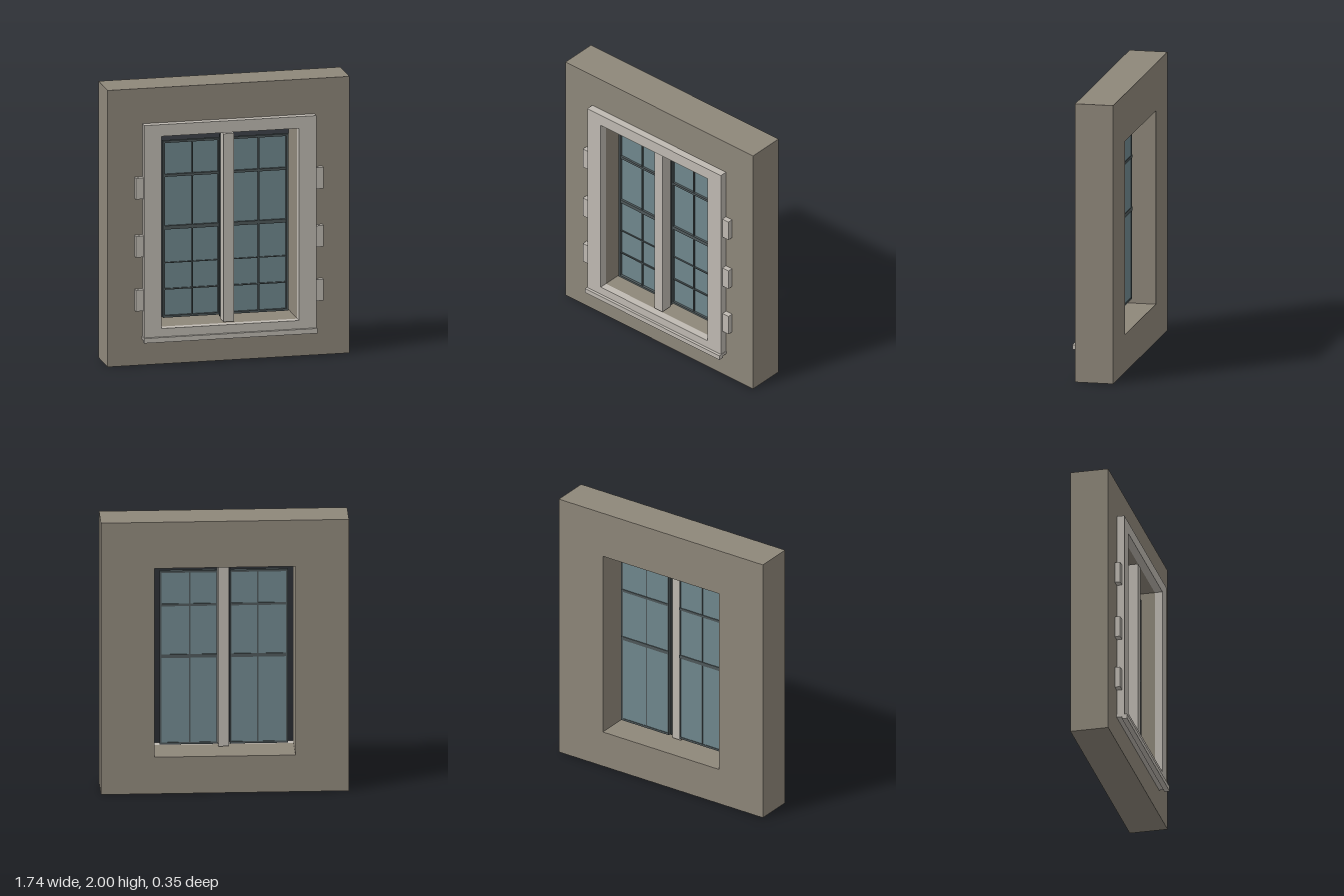
import * as THREE from 'three';

const mat = (name, color) => {
  const m = new THREE.MeshStandardMaterial({ color });
  m.name = name;
  return m;
};

export function createModel() {
  const model = new THREE.Group();
  model.name = 'windowInWall';
  const wallMat = mat('wall brown', 0x8e877a);
  const stoneMat = mat('pale stone', 0xbfbab2);
  const glassMat = mat('blue grey glass', 0x70888e);
  const metalMat = mat('dark metal', 0x4e585a);

  // Box given by its limits on each axis
  const box = (name, m, x0, x1, y0, y1, z0, z1, parent = model) => {
    const mesh = new THREE.Mesh(new THREE.BoxGeometry(x1 - x0, y1 - y0, z1 - z0), m);
    mesh.position.set((x0 + x1) / 2, (y0 + y1) / 2, (z0 + z1) / 2);
    mesh.name = name;
    parent.add(mesh);
    return mesh;
  };

  // Rectangular slab with a rectangular hole
  const ring = (name, m, [ox, oy0, oy1], [ix, iy0, iy1], z0, z1) => {
    const rect = (P, x, a, b) =>
      new P([[-x, a], [x, a], [x, b], [-x, b]].map(p => new THREE.Vector2(...p)));
    const shape = rect(THREE.Shape, ox, oy0, oy1);
    shape.holes.push(rect(THREE.Path, ix, iy0, iy1));
    const geo = new THREE.ExtrudeGeometry(shape, { depth: z1 - z0, bevelEnabled: false });
    geo.translate(0, 0, z0);
    const mesh = new THREE.Mesh(geo, m);
    mesh.name = name;
    model.add(mesh);
  };

  // Wall and stone surround share one opening
  const opening = [0.495, 0.27, 1.66];
  ring('wall', wallMat, [0.87, 0, 2], opening, -0.173, 0.1);
  ring('surround', stoneMat, [0.62, 0.19, 1.745], opening, 0.1, 0.155);

  // Sill with a drip lip
  box('sillLip', stoneMat, -0.624, 0.624, 0.175, 0.21, 0.138, 0.175);
  box('sillBack', stoneMat, -0.624, 0.624, 0.19, 0.21, 0.1, 0.138);

  // Central post
  box('centrePost', stoneMat, -0.037, 0.037, 0.28, 1.64, 0.02, 0.11);

  for (const s of [-1, 1]) {
    // Keyed blocks beside the surround
    for (const y of [0.4, 0.79, 1.21]) {
      const b = box('sideBlock', stoneMat, 0.62, 0.676, y, y + 0.153, 0.1, 0.138);
      b.position.x *= s;
    }

    // Casement leaf
    const leaf = new THREE.Group();
    leaf.name = s > 0 ? 'leftLeaf' : 'rightLeaf';
    model.add(leaf);
    const part = (name, m, ...limits) => {
      box(name, m, ...limits, leaf).position.x *= s;
    };
    const xi = 0.045, xo = 0.451, y0 = 0.31, y1 = 1.588, w = 0.015;
    part('glass', glassMat, xi + 0.005, xo - 0.005, y0 + 0.005, y1 - 0.005, -0.008, -0.002);
    part('innerStile', metalMat, xi, xi + 0.01, y0, y1, -0.012, 0.015);
    part('outerStile', metalMat, xo - w, xo, y0, y1, -0.012, 0.015);
    part('bottomRail', metalMat, xi, xo, y0, y0 + w, -0.012, 0.015);
    part('topRail', metalMat, xi, xo, y1 - w, y1, -0.012, 0.015);
    part('muntin', metalMat, 0.234, 0.243, y0, y1, -0.009, 0.01);

    // Horizontal bars: two strong, two thin ones on the front only
    part('upperBar', metalMat, xi, xo, 1.328, 1.346, -0.014, 0.014);
    part('middleBar', metalMat, xi, xo, 0.947, 0.973, -0.014, 0.014);
    part('thinBar', metalMat, xi, xo, 0.702, 0.708, -0.004, 0.008);
    part('thinBar', metalMat, xi, xo, 0.51, 0.519, -0.004, 0.008);

    // Slim seal beside the post
    part('seal', metalMat, 0.042, 0.047, 0.3, 1.62, 0.012, 0.03);
  }
  return model;
}
